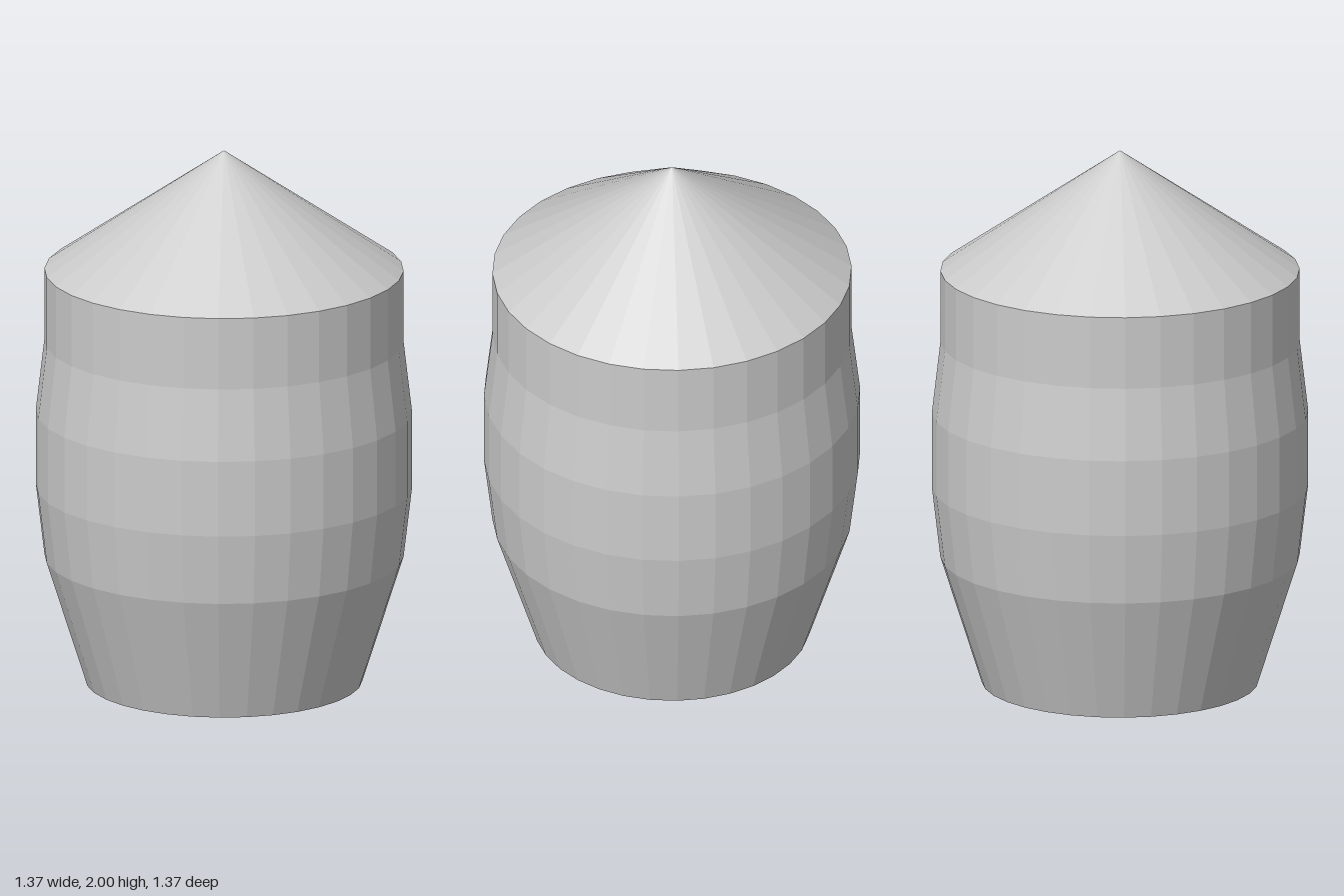
import * as THREE from 'three';

const SIDES = 32;

export function createModel() {
  const group = new THREE.Group();
  const material = new THREE.MeshStandardMaterial({ color: 0xcccccc, flatShading: true });

  const add = (name, geometry, y = 0) => {
    const mesh = new THREE.Mesh(geometry, material);
    mesh.name = name;
    mesh.position.y = y;
    group.add(mesh);
  };

  // Bulging barrel body with a closed base, listed as radius and height
  const profile = [
    [0, 0], [0.503, 0], [0.653, 0.472], [0.684, 0.735],
    [0.684, 1.017], [0.653, 1.282], [0.653, 1.55],
  ].map(([r, y]) => new THREE.Vector2(r, y));
  add('barrelBody', new THREE.LatheGeometry(profile, SIDES));

  // Pointed lid, flush with the rim
  const lidHeight = 0.45;
  add('conicalLid', new THREE.ConeGeometry(0.653, lidHeight, SIDES, 1, true), 1.55 + lidHeight / 2);

  return group;
}
